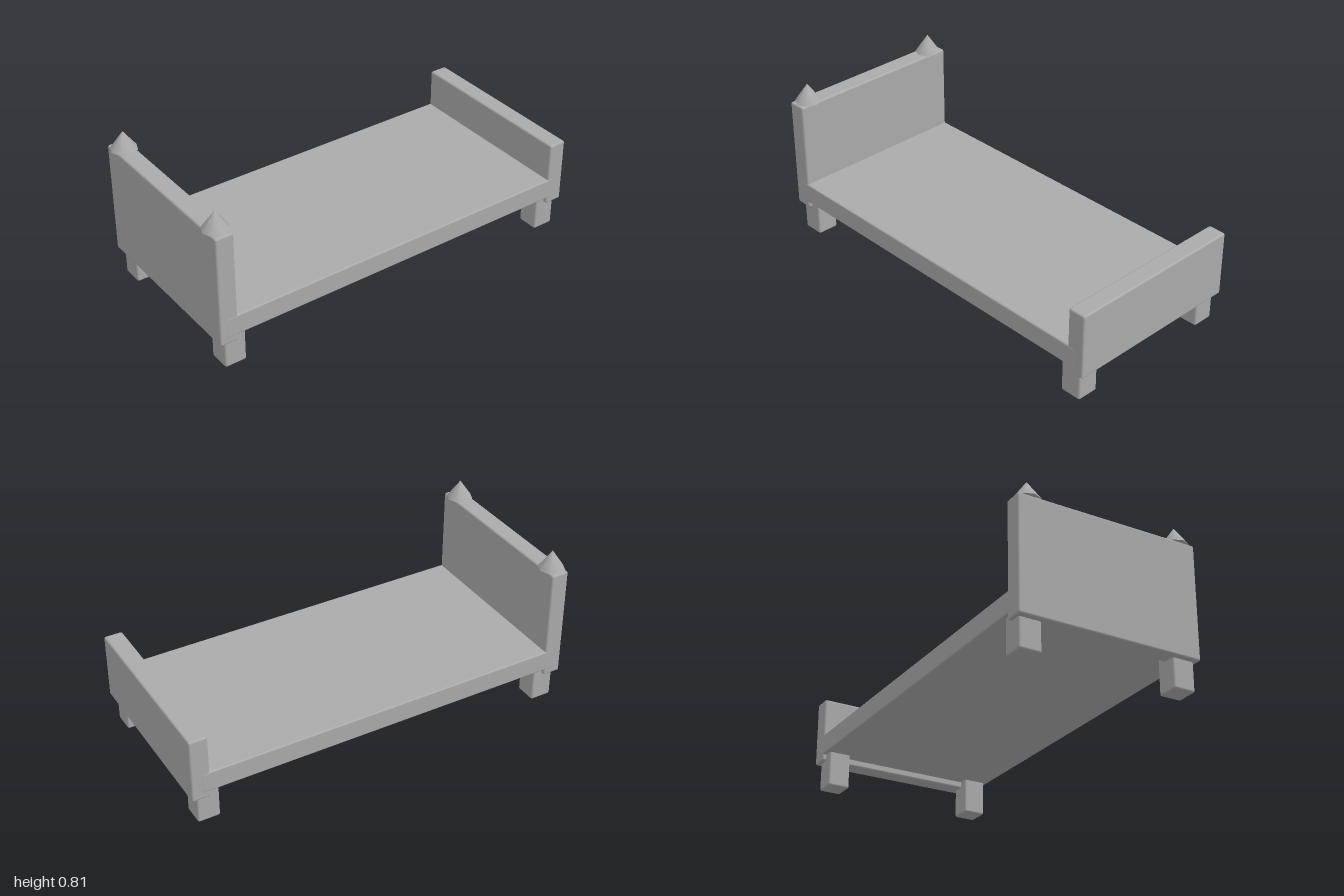
import * as THREE from 'three';
import { RoundedBoxGeometry } from 'three/addons/geometries/RoundedBoxGeometry.js';

export function createModel() {
  const bed = new THREE.Group();
  bed.name = 'bed';
  const grey = new THREE.MeshStandardMaterial({ color: 0xaaaaaa });
  grey.name = 'plain grey';

  const add = (name, geometry, x, y, z) => {
    const mesh = new THREE.Mesh(geometry, grey);
    mesh.name = name;
    mesh.position.set(x, y, z);
    bed.add(mesh);
    return mesh;
  };

  // Softly bevelled box given by its lower and upper y and its z range
  const block = (name, width, x, y0, y1, z0, z1, bevel = 0.01) =>
    add(name, new RoundedBoxGeometry(width, y1 - y0, z1 - z0, 3, bevel),
      x, (y0 + y1) / 2, (z0 + z1) / 2);

  // Sleeping platform and the two end boards
  block('platform', 0.924, 0, 0.175, 0.28, -0.95, 0.95, 0.008);
  block('headboard', 0.922, 0, 0.143, 0.713, 0.892, 0.984);
  block('footboard', 0.922, 0, 0.143, 0.475, -1, -0.908);

  for (const [side, s] of [['left', 1], ['right', -1]]) {
    // Legs, running up into the platform
    block(side + 'FrontLeg', 0.11, s * 0.388, 0, 0.2, 0.845, 0.955);
    block(side + 'BackLeg', 0.11, s * 0.388, 0, 0.2, -0.97, -0.86);
    // Pointed finial on the headboard corner
    add(side + 'Finial', new THREE.ConeGeometry(0.065, 0.092, 8), s * 0.389, 0.759, 0.937);
  }
  return bed;
}
